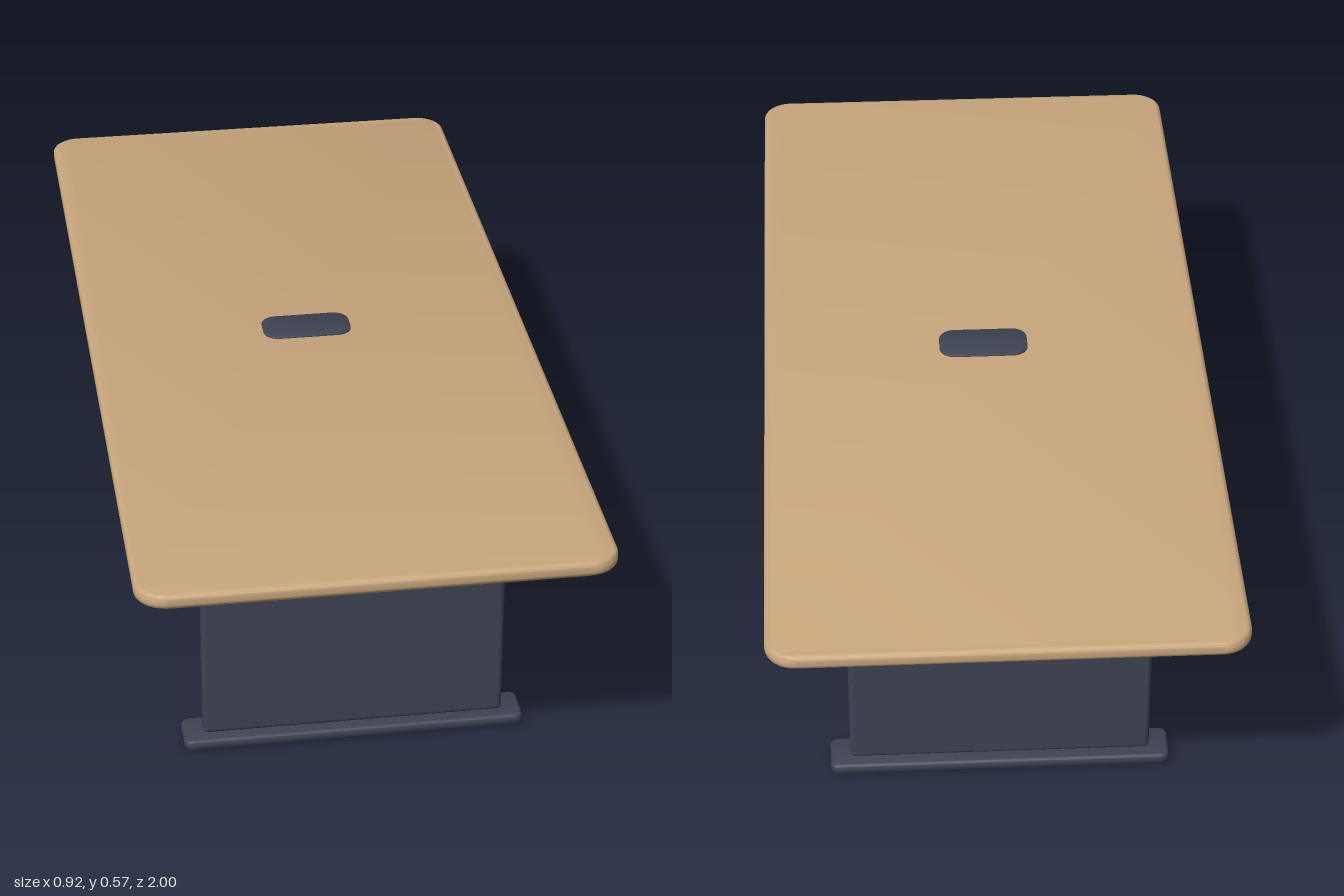
import * as THREE from 'three';
import { toCreasedNormals } from 'three/addons/utils/BufferGeometryUtils.js';
import { RoundedBoxGeometry } from 'three/addons/geometries/RoundedBoxGeometry.js';

function material(name, color) {
  const m = new THREE.MeshStandardMaterial({ color });
  m.name = name;
  return m;
}

// Horizontal slab with rounded plan corners and softened rims, from y0 to y1
function slab(width, depth, y0, y1, radius, bevel) {
  const x = width / 2 - bevel, z = depth / 2 - bevel, r = radius - bevel;
  const shape = new THREE.Shape();
  shape.absarc(x - r, z - r, r, 0, Math.PI / 2);
  shape.absarc(-x + r, z - r, r, Math.PI / 2, Math.PI);
  shape.absarc(-x + r, -z + r, r, Math.PI, Math.PI * 1.5);
  shape.absarc(x - r, -z + r, r, Math.PI * 1.5, Math.PI * 2);
  const geo = new THREE.ExtrudeGeometry(shape, {
    depth: y1 - y0 - 2 * bevel, bevelEnabled: true, bevelThickness: bevel,
    bevelSize: bevel, bevelSegments: 4, curveSegments: 8,
  });
  geo.rotateX(-Math.PI / 2);
  geo.translate(0, y0 + bevel, 0);
  return toCreasedNormals(geo, 0.6);
}

export function createModel() {
  const wood = material('oak', 0xc8a67c);
  const underWood = material('dark oak', 0xa5825a);
  const steel = material('charcoal steel', 0x3d4352);

  const group = new THREE.Group();
  group.name = 'conferenceTable';
  const add = (parent, name, geo, mat, x = 0, y = 0, z = 0) => {
    const mesh = new THREE.Mesh(geo, mat);
    mesh.name = name;
    mesh.position.set(x, y, z);
    parent.add(mesh);
    return mesh;
  };

  // Top, recessed underside layer and cable cover
  add(group, 'tableTop', slab(0.92, 2, 0.54, 0.57, 0.06, 0.01), wood);
  add(group, 'undersidePanel', slab(0.89, 1.97, 0.533, 0.542, 0.05, 0.002), underWood);
  add(group, 'cableCover', slab(0.185, 0.095, 0.566, 0.574, 0.032, 0.002), steel);

  // Long beam joining the two legs
  add(group, 'beam', new RoundedBoxGeometry(0.07, 0.042, 1.3, 2, 0.005), steel, 0, 0.512, 0);

  // Panel legs at both ends, each with a mounting plate and a foot bar
  for (const side of [1, -1]) {
    const leg = new THREE.Group();
    leg.name = side > 0 ? 'frontLeg' : 'backLeg';
    leg.position.z = side * 0.655;
    add(leg, 'legPanel', new RoundedBoxGeometry(0.61, 0.506, 0.036, 3, 0.01), steel, 0, 0.274, 0);
    add(leg, 'mountingPlate', slab(0.54, 0.075, 0.52, 0.534, 0.01, 0.004), steel);
    add(leg, 'foot', slab(0.69, 0.09, 0, 0.023, 0.016, 0.008), steel);
    group.add(leg);
  }
  return group;
}
